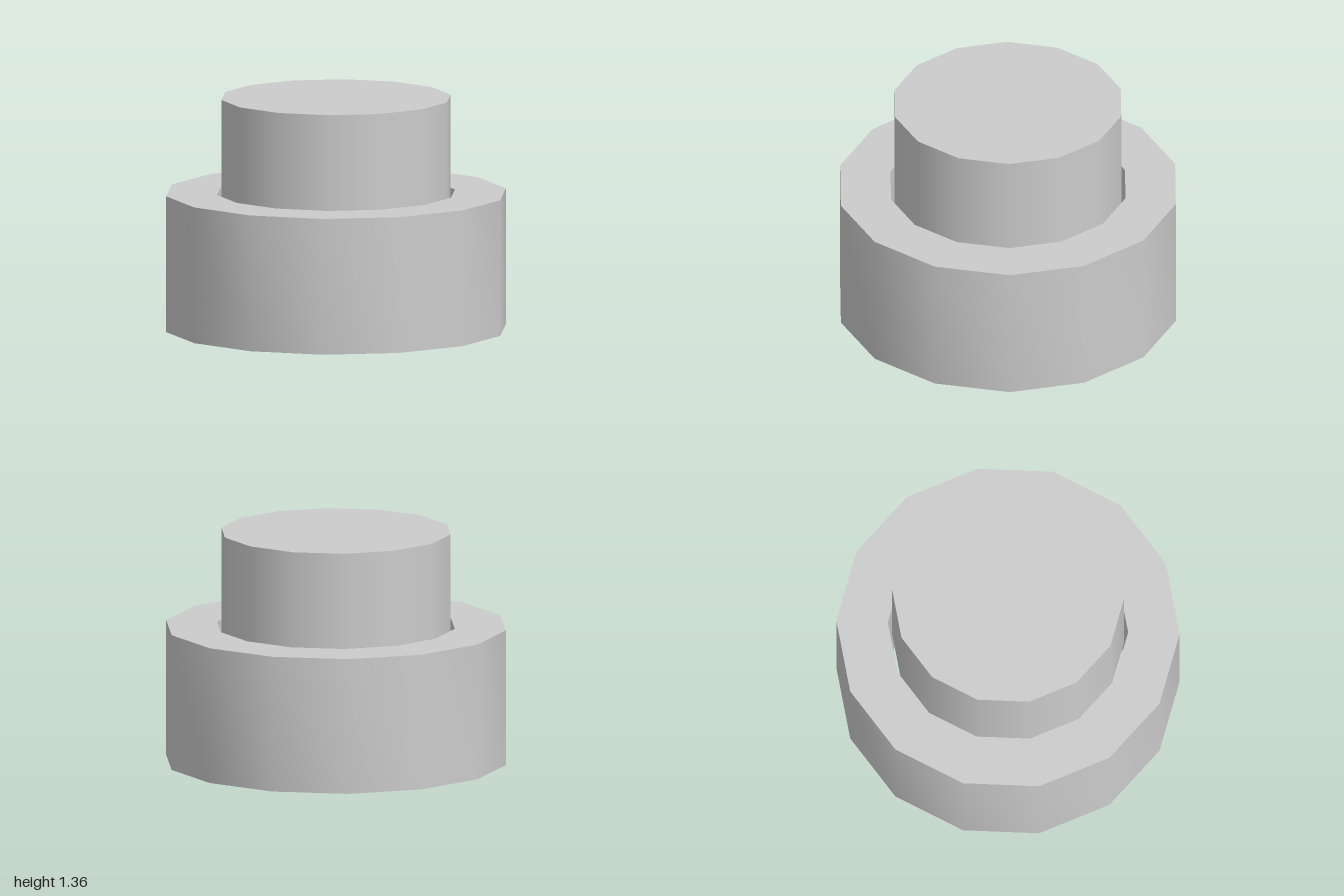
import * as THREE from 'three';
import { toCreasedNormals } from 'three/addons/utils/BufferGeometryUtils.js';

const SIDES = 14;

// Points of a 14-sided polygon with a corner on the x axis
function polygon(radius) {
  return Array.from({ length: SIDES }, (_, i) => {
    const a = (i / SIDES) * Math.PI * 2;
    return new THREE.Vector2(Math.cos(a) * radius, Math.sin(a) * radius);
  });
}

export function createModel() {
  const group = new THREE.Group();
  group.name = 'buttonAssembly';
  const material = new THREE.MeshStandardMaterial({ color: 0xcccccc });

  // Outer collar: a thick ring, open through the middle
  const shape = new THREE.Shape(polygon(1));
  shape.holes.push(new THREE.Path(polygon(0.7)));
  const collarGeometry = new THREE.ExtrudeGeometry(shape, { depth: 0.8, bevelEnabled: false });
  collarGeometry.rotateX(-Math.PI / 2);
  const collar = new THREE.Mesh(toCreasedNormals(collarGeometry, Math.PI / 6), material);
  collar.name = 'collar';
  group.add(collar);

  // Plunger: a solid plug sitting in the collar with a narrow gap around it
  const bottom = 0.61, top = 1.36;
  const plunger = new THREE.Mesh(
    new THREE.CylinderGeometry(0.675, 0.675, top - bottom, SIDES, 1, false, Math.PI / 2),
    material
  );
  plunger.name = 'plunger';
  plunger.position.y = (top + bottom) / 2;
  group.add(plunger);

  return group;
}
